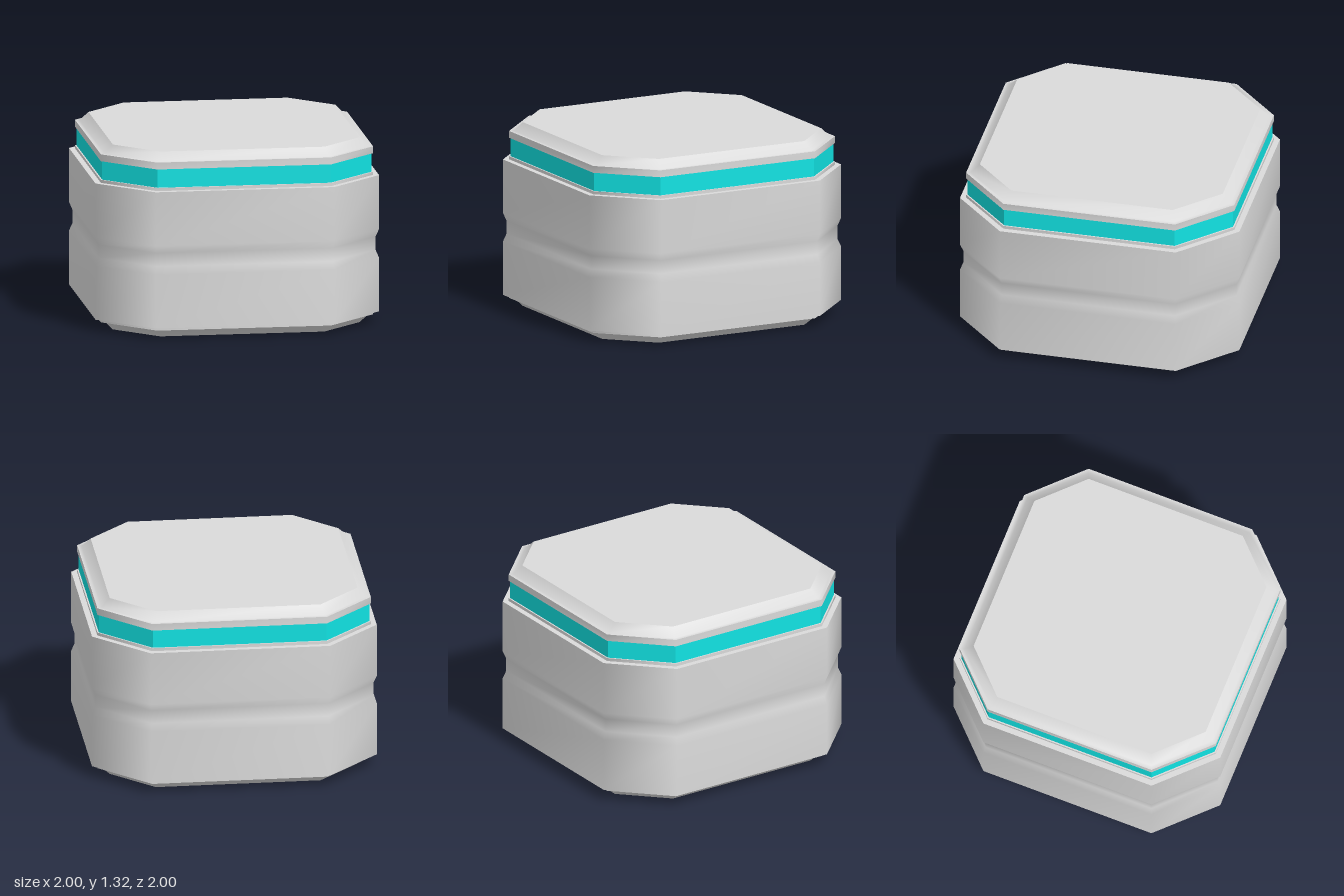
import * as THREE from 'three';

// Octagon (square with cut corners) of half width h, counter-clockwise seen from above
function ring(h) {
  const c = 0.578 + (h - 0.87) * 0.4;
  return [[h, c], [h, -c], [c, -h], [-c, -h], [-h, -c], [-h, c], [-c, h], [c, h]];
}

// Loft a [halfWidth, height] profile; smooth inside the band, sharp at its ends
function band(profile, flat = false) {
  const pos = [], idx = [];
  for (const [h, y] of profile) for (const [x, z] of ring(h)) pos.push(x, y, z);
  for (let r = 0; r < profile.length - 1; r++) {
    for (let i = 0; i < 8; i++) {
      const a = r * 8 + i, b = r * 8 + (i + 1) % 8;
      idx.push(a, b, b + 8, a, b + 8, a + 8);
    }
  }
  let g = new THREE.BufferGeometry();
  g.setAttribute('position', new THREE.Float32BufferAttribute(pos, 3));
  g.setIndex(idx);
  if (flat) g = g.toNonIndexed();
  g.computeVertexNormals();
  return g;
}

// Flat octagonal plate facing up or down
function cap(h, y, up) {
  const shape = new THREE.Shape(ring(h).map(([x, z]) => new THREE.Vector2(x, z)));
  const g = new THREE.ShapeGeometry(shape);
  g.rotateX(up ? -Math.PI / 2 : Math.PI / 2);
  g.translate(0, y, 0);
  return g;
}

export function createModel() {
  const shell = new THREE.MeshStandardMaterial({ color: 0xdadada });
  shell.name = 'light grey';
  const glow = new THREE.MeshStandardMaterial({ color: 0x11e2e2 });
  glow.name = 'cyan';

  const model = new THREE.Group();
  model.name = 'container';
  const add = (parent, name, geometry, material = shell) => {
    const mesh = new THREE.Mesh(geometry, material);
    mesh.name = name;
    parent.add(mesh);
  };
  const group = (name) => {
    const g = new THREE.Group();
    g.name = name;
    model.add(g);
    return g;
  };

  // Base: bevelled foot and narrow rim
  const base = group('base');
  add(base, 'baseBottom', cap(0.87, 0, false));
  add(base, 'baseBevel', band([[0.87, 0], [0.93, 0.06], [0.96, 0.06]]));
  add(base, 'baseRim', band([[0.96, 0.06], [0.96, 0.083]]));

  // Body: wall with a shallow groove around the waist
  const body = group('body');
  add(body, 'bodyUnderside', band([[0.96, 0.083], [1, 0.083]]));
  add(body, 'bodyWall', band([
    [1, 0.083], [1, 0.465], [0.977, 0.52], [0.977, 0.615], [1, 0.67], [1, 1.053],
  ]));
  add(body, 'bodyShoulder', band([[1, 1.053], [0.96, 1.053]]));
  add(body, 'collar', band([[0.96, 1.053], [0.96, 1.075]]));
  add(body, 'collarTop', band([[0.96, 1.075], [0.95, 1.075]]));

  // Coloured strip between body and lid
  add(model, 'lightStrip', band([[0.95, 1.075], [0.95, 1.207]], true), glow);

  // Lid: rim, bevel and flat top
  const lid = group('lid');
  add(lid, 'lidUnderside', band([[0.95, 1.207], [0.96, 1.207]]));
  add(lid, 'lidRim', band([[0.96, 1.207], [0.96, 1.256]]));
  add(lid, 'lidBevel', band([[0.96, 1.256], [0.93, 1.256], [0.87, 1.316]]));
  add(lid, 'lidTop', cap(0.87, 1.316, true));

  return model;
}
